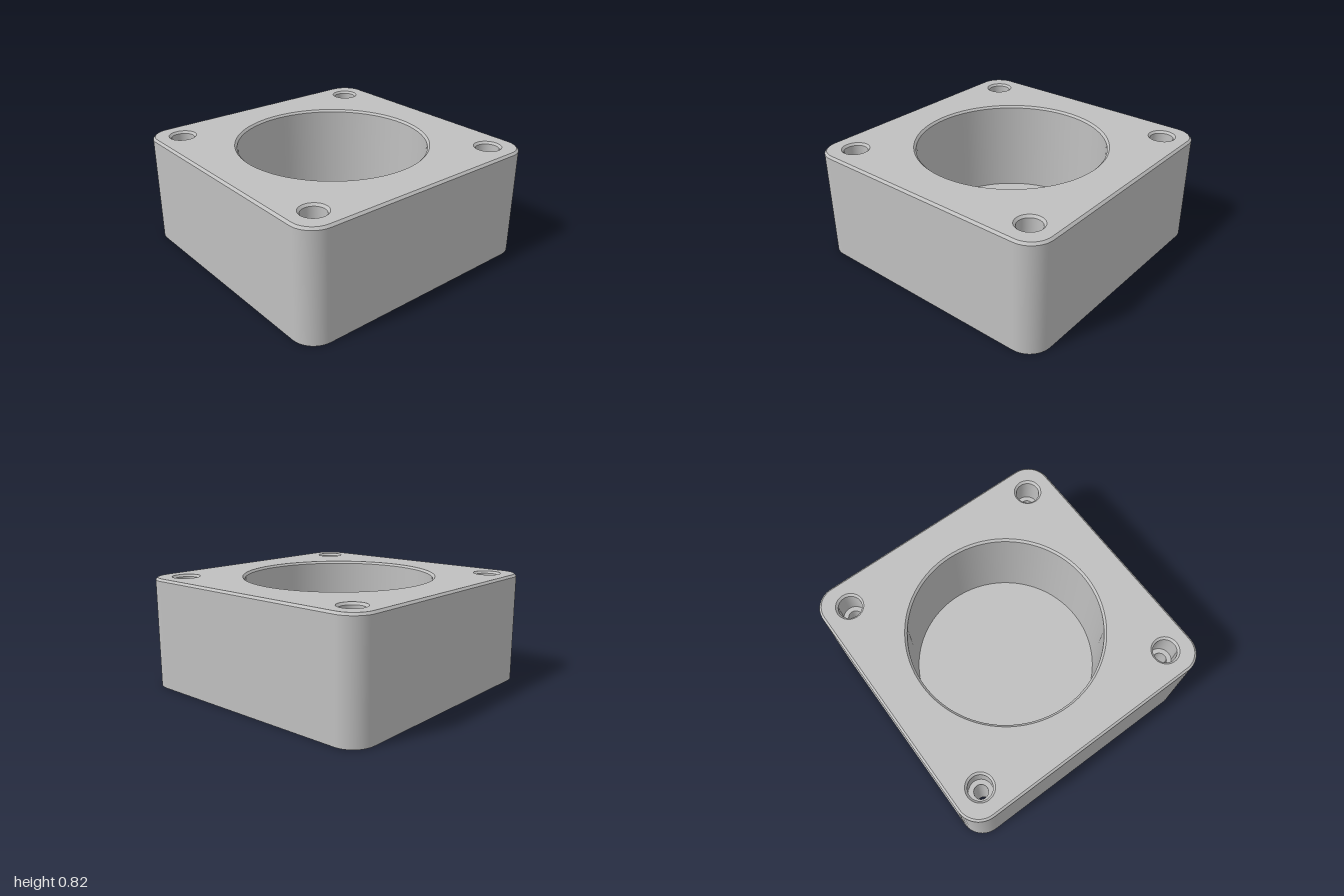
import * as THREE from 'three';

const HALF = 1, HEIGHT = 0.82, CORNER = 0.17, CHAMFER = 0.016;
const CORE = HALF - CORNER;            // centre of each corner arc
const POCKET_R = 0.695, FLOOR_Y = 0.1;
const HOLE_POS = 0.795, HOLE_R = 0.05, BORE_R = 0.085, BORE_Y = 0.62;

// Loop of points with directions: a rounded square, or a circle when core is 0
function contour(core, steps) {
  const signs = [[1, 1], [-1, 1], [-1, -1], [1, -1]];
  const loop = [];
  signs.forEach(([sx, sz], k) => {
    const last = core === 0 ? steps - 1 : steps;
    for (let s = 0; s <= last; s++) {
      const a = (k + s / steps) * Math.PI / 2;
      loop.push({ cx: sx * core, cz: sz * core, dx: Math.cos(a), dz: Math.sin(a) });
    }
  });
  return loop;
}

// Sweep a [radius, y] profile round a loop, with hard edges between profile segments
function sweep(loop, profile) {
  const pos = [], nor = [], idx = [];
  for (let i = 0; i < profile.length - 1; i++) {
    const [r0, y0] = profile[i], [r1, y1] = profile[i + 1];
    const len = Math.hypot(r1 - r0, y1 - y0);
    const nr = (y1 - y0) / len, ny = (r0 - r1) / len;
    const base = pos.length / 3;
    for (let j = 0; j <= loop.length; j++) {
      const p = loop[j % loop.length];
      for (const [r, y] of [[r0, y0], [r1, y1]]) {
        pos.push(p.cx + r * p.dx, y, p.cz + r * p.dz);
        nor.push(nr * p.dx, ny, nr * p.dz);
      }
      if (j < loop.length) {
        const a = base + 2 * j;
        idx.push(a, a + 1, a + 2, a + 1, a + 3, a + 2);
      }
    }
  }
  const g = new THREE.BufferGeometry();
  g.setAttribute('position', new THREE.Float32BufferAttribute(pos, 3));
  g.setAttribute('normal', new THREE.Float32BufferAttribute(nor, 3));
  g.setIndex(idx);
  return g;
}

const outline = (loop, r, x = 0, y = 0) =>
  loop.map(p => new THREE.Vector2(x + p.cx + r * p.dx, y + p.cz + r * p.dz));

export function createModel() {
  const group = new THREE.Group();
  group.name = 'housing';
  const grey = new THREE.MeshStandardMaterial({ color: 0xc0c0c0 });
  grey.name = 'grey';
  const add = (name, geometry) => {
    const mesh = new THREE.Mesh(geometry, grey);
    mesh.name = name;
    group.add(mesh);
    return mesh;
  };

  const square = contour(CORE, 12);
  const bigCircle = contour(0, 24);
  const smallCircle = contour(0, 10);
  const corners = [[1, 1], [-1, 1], [-1, -1], [1, -1]].map(([x, z]) => [x * HOLE_POS, z * HOLE_POS]);

  // Flat face with the four screw openings cut out
  const plate = (edge, holeR) => {
    const shape = new THREE.Shape(outline(square, edge));
    for (const [x, z] of corners) shape.holes.push(new THREE.Path(outline(smallCircle, holeR, x, z)));
    return shape;
  };

  // Outer walls with a bevelled top edge
  add('outerWalls', sweep(square, [
    [CORNER, 0], [CORNER, HEIGHT - CHAMFER], [CORNER - CHAMFER, HEIGHT],
  ]));

  // Top face, open over the pocket
  const top = plate(CORNER - CHAMFER, BORE_R + CHAMFER);
  top.holes.push(new THREE.Path(outline(bigCircle, POCKET_R + CHAMFER)));
  add('topFace', new THREE.ShapeGeometry(top).rotateX(-Math.PI / 2).translate(0, HEIGHT, 0));

  // Closed underside
  add('bottomFace', new THREE.ShapeGeometry(plate(CORNER, HOLE_R)).rotateX(Math.PI / 2));

  // Round pocket: bevel, wall and floor
  add('pocket', sweep(bigCircle, [
    [POCKET_R + CHAMFER, HEIGHT], [POCKET_R, HEIGHT - CHAMFER], [POCKET_R, FLOOR_Y], [0, FLOOR_Y],
  ]));

  // Counterbored screw holes
  const hole = sweep(smallCircle, [
    [BORE_R + CHAMFER, HEIGHT], [BORE_R, HEIGHT - CHAMFER], [BORE_R, BORE_Y], [HOLE_R, BORE_Y], [HOLE_R, 0],
  ]);
  for (const [x, z] of corners) add('screwHole', hole).position.set(x, 0, z);

  return group;
}
